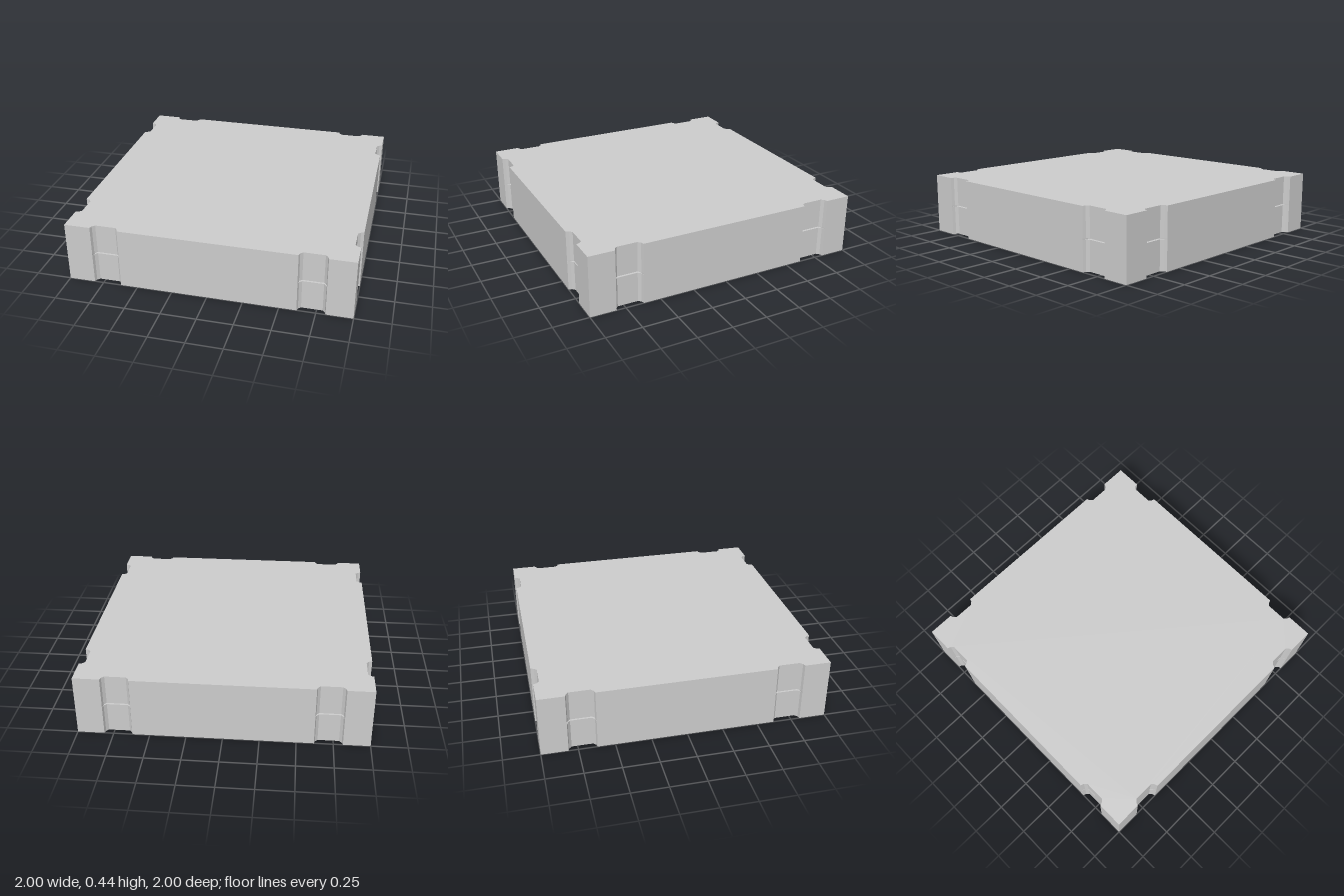
import * as THREE from 'three';

const HEIGHT = 0.435, GROOVE = 0.01;

// Square plan with two chamfered notches per side, cut to the given depth
function plan(depth) {
  const d = 1 - depth, c = 0.018;
  const side = [
    [-1, 1], [-0.815, 1], [-0.808, d + c], [-0.79, d], [-0.645, d], [-0.627, d + c], [-0.62, 1],
    [0.62, 1], [0.627, d + c], [0.645, d], [0.79, d], [0.808, d + c], [0.815, 1],
  ];
  const points = [];
  for (let i = 0; i < 4; i++) {
    const a = -i * Math.PI / 2, cos = Math.round(Math.cos(a)), sin = Math.round(Math.sin(a));
    for (const [x, y] of side) points.push(new THREE.Vector2(x * cos - y * sin, x * sin + y * cos));
  }
  return new THREE.Shape(points);
}

function layer(name, depth, bottom, height, material) {
  const geometry = new THREE.ExtrudeGeometry(plan(depth), { depth: height, bevelEnabled: false });
  geometry.rotateX(-Math.PI / 2);
  const mesh = new THREE.Mesh(geometry, material);
  mesh.name = name;
  mesh.position.y = bottom;
  return mesh;
}

export function createModel() {
  const group = new THREE.Group();
  group.name = 'notchedSlab';
  const grey = new THREE.MeshStandardMaterial({ color: 0xcccccc });
  grey.name = 'light grey';

  // Two equal halves, parted by a thin groove that is open only inside the notches
  const half = (HEIGHT - GROOVE) / 2;
  group.add(layer('lowerHalf', 0.04, 0, half, grey));
  group.add(layer('seamLayer', 0.06, half, GROOVE, grey));
  group.add(layer('upperHalf', 0.04, half + GROOVE, half, grey));
  return group;
}
